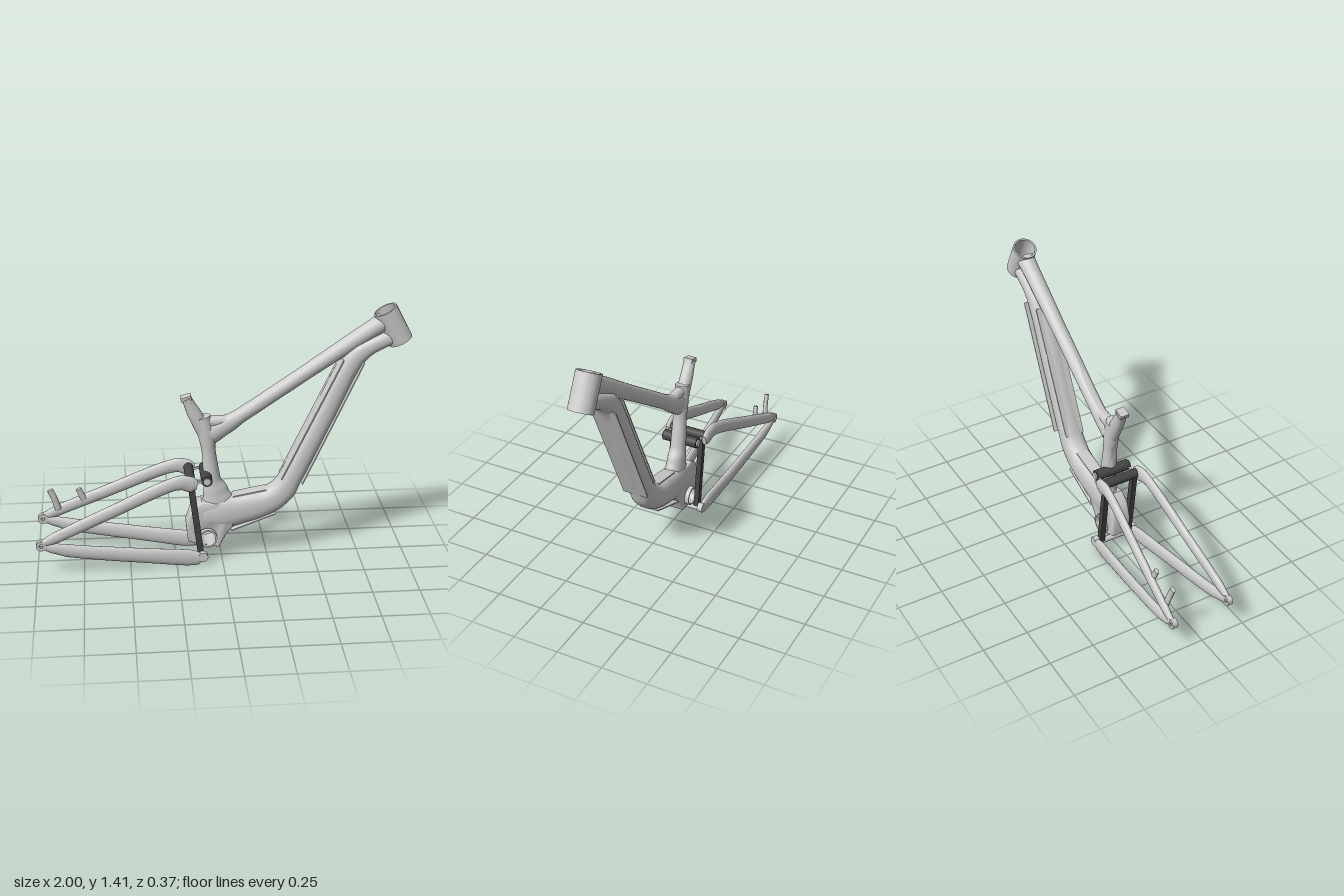
import * as THREE from 'three';
import { toCreasedNormals } from 'three/addons/utils/BufferGeometryUtils.js';

const grey = new THREE.MeshStandardMaterial({ color: 0xcccccc });
const dark = new THREE.MeshStandardMaterial({ color: 0x444444 });

// Smooth tube through stations [x, y, z, in-plane radius, sideways radius]
function loft(stations, sides = 24, power = 1) {
  const path = new THREE.CatmullRomCurve3(stations.map(s => new THREE.Vector3(s[0], s[1], s[2])), false, 'centripetal');
  const steps = (stations.length - 1) * 8;
  const pos = [], idx = [];
  for (let i = 0; i <= steps; i++) {
    const t = i / steps, u = t * (stations.length - 1);
    const k = Math.min(Math.floor(u), stations.length - 2);
    const f = THREE.MathUtils.smoothstep(u - k, 0, 1);
    const ra = THREE.MathUtils.lerp(stations[k][3], stations[k + 1][3], f);
    const rb = THREE.MathUtils.lerp(stations[k][4], stations[k + 1][4], f);
    const c = path.getPoint(t), tan = path.getTangent(t);
    const b = new THREE.Vector3(0, 0, 1).addScaledVector(tan, -tan.z).normalize();
    const n = b.clone().cross(tan);
    for (let j = 0; j < sides; j++) {
      const a = (j / sides) * Math.PI * 2;
      const ca = Math.sign(Math.cos(a)) * Math.abs(Math.cos(a)) ** power;
      const sa = Math.sign(Math.sin(a)) * Math.abs(Math.sin(a)) ** power;
      const p = c.clone().addScaledVector(n, ca * ra).addScaledVector(b, sa * rb);
      pos.push(p.x, p.y, p.z);
    }
  }
  for (let i = 0; i < steps; i++) for (let j = 0; j < sides; j++) {
    const p = i * sides + j, q = i * sides + (j + 1) % sides;
    idx.push(p, q, q + sides, p, q + sides, p + sides);
  }
  // end caps
  for (let j = 1; j < sides - 1; j++) {
    const e = steps * sides;
    idx.push(0, j + 1, j, e, e + j, e + j + 1);
  }
  const g = new THREE.BufferGeometry();
  g.setAttribute('position', new THREE.Float32BufferAttribute(pos, 3));
  g.setIndex(idx);
  return toCreasedNormals(g, 0.8);
}

// Hollow tube along y
function ring(rOut, rIn, length) {
  const h = length / 2;
  const pts = [[rIn, -h], [rOut, -h], [rOut, h], [rIn, h], [rIn, -h]].map(p => new THREE.Vector2(...p));
  return toCreasedNormals(new THREE.LatheGeometry(pts, 40), 0.7);
}

export function createModel() {
  const group = new THREE.Group();
  const add = (name, geometry, material = grey, parent = group) => {
    const m = new THREE.Mesh(geometry, material);
    m.name = name;
    parent.add(m);
    return m;
  };
  // Cylinder running across the frame
  const axle = (name, x, y, z, r, length, mat, parent) => {
    const m = add(name, new THREE.CylinderGeometry(r, r, length, 24), mat, parent);
    m.rotation.x = Math.PI / 2;
    m.position.set(x, y, z);
    return m;
  };
  // Flat bar between two points in the side plane
  const bar = (name, a, b, z, thick, width, mat, parent) => {
    const dx = b[0] - a[0], dy = b[1] - a[1];
    const m = add(name, new THREE.BoxGeometry(Math.hypot(dx, dy), thick, width), mat, parent);
    m.position.set((a[0] + b[0]) / 2, (a[1] + b[1]) / 2, z);
    m.rotation.z = Math.atan2(dy, dx);
    return m;
  };

  // Head tube
  const head = add('headTube', ring(0.065, 0.056, 0.192));
  head.position.set(0.897, 1.307, 0);
  head.rotation.z = Math.atan2(0.09, 0.17);

  // Main tubes
  add('topTube', loft([
    [-0.06, 0.73, 0, 0.06, 0.038], [0.02, 0.775, 0, 0.05, 0.038], [0.12, 0.84, 0, 0.04, 0.038],
    [0.43, 1.05, 0, 0.04, 0.04], [0.75, 1.265, 0, 0.046, 0.045], [0.85, 1.33, 0, 0.05, 0.05]]));
  add('downTube', loft([
    [0.905, 1.255, 0, 0.042, 0.05], [0.8, 1.21, 0, 0.044, 0.055], [0.72, 1.16, 0, 0.054, 0.06],
    [0.67, 1.09, 0, 0.056, 0.062], [0.53, 0.79, 0, 0.058, 0.064], [0.38, 0.475, 0, 0.06, 0.064],
    [0.335, 0.395, 0, 0.068, 0.064], [0.26, 0.335, 0, 0.074, 0.064], [0.14, 0.298, 0, 0.085, 0.063],
    [0.02, 0.275, 0, 0.095, 0.062], [-0.07, 0.265, 0, 0.08, 0.058], [-0.14, 0.255, 0, 0.06, 0.05]], 28, 0.8));

  // Thin cover plates on the down tube
  bar('lowerCover', [0.742, 1.125], [0.43, 0.445], 0, 0.006, 0.144);
  bar('upperCover', [0.635, 1.135], [0.32, 0.47], 0, 0.006, 0.11);
  bar('motorTopCover', [0.24, 0.403], [0.06, 0.37], 0, 0.006, 0.07);
  bar('motorLowerCover', [0.29, 0.268], [0.05, 0.178], 0, 0.006, 0.11);

  // Seat tube with flared foot, and the angled post socket
  add('seatTube', loft([
    [-0.02, 0.34, 0, 0.085, 0.05], [-0.033, 0.4, 0, 0.068, 0.047], [-0.05, 0.47, 0, 0.045, 0.042],
    [-0.068, 0.63, 0, 0.037, 0.038], [-0.08, 0.73, 0, 0.046, 0.04], [-0.1, 0.83, 0, 0.042, 0.038]]));
  add('seatSocket', loft([
    [-0.085, 0.74, 0, 0.045, 0.036], [-0.135, 0.83, 0, 0.038, 0.035], [-0.185, 0.935, 0, 0.027, 0.032]]));
  bar('seatClamp', [-0.215, 0.93], [-0.16, 0.945], 0, 0.022, 0.05);
  add('seatGusset', loft([
    [-0.1, 0.8, 0, 0.035, 0.03], [-0.04, 0.8, 0, 0.032, 0.03], [0.06, 0.815, 0, 0.02, 0.028]]));

  // Bottom bracket housing with through hole
  const outline = [[-0.11, 0.35], [-0.165, 0.31], [-0.195, 0.22], [-0.185, 0.12], [-0.13, 0.1],
    [-0.07, 0.085], [-0.015, 0.08], [0.02, 0.15], [0.06, 0.2], [0.04, 0.33]];
  const shape = new THREE.Shape(outline.map(p => new THREE.Vector2(...p)));
  const hole = new THREE.Path();
  hole.absarc(-0.08, 0.142, 0.05, 0, Math.PI * 2, true);
  shape.holes.push(hole);
  const housing = new THREE.ExtrudeGeometry(shape, {
    depth: 0.08, bevelEnabled: true, bevelThickness: 0.014, bevelSize: 0.008, bevelOffset: -0.008, bevelSegments: 3, curveSegments: 20 });
  housing.translate(0, 0, -0.04);
  add('bottomBracketHousing', toCreasedNormals(housing, 0.7));
  const shell = add('bottomBracketShell', ring(0.052, 0.043, 0.15));
  shell.rotation.x = Math.PI / 2;
  shell.position.set(-0.08, 0.142, 0);

  // Cross axles
  axle('upperLinkAxle', -0.172, 0.495, 0, 0.026, 0.22, dark);
  axle('shockAxle', -0.085, 0.495, 0, 0.03, 0.2, dark);
  axle('lowerPivotAxle', -0.115, 0.05, 0, 0.016, 0.2);

  // Rear triangle, one per side
  for (const s of [1, -1]) {
    const rear = new THREE.Group();
    rear.name = s > 0 ? 'rearTriangleLeft' : 'rearTriangleRight';
    group.add(rear);
    add('chainStay', loft([
      [-0.965, 0.187, 0.165 * s, 0.022, 0.014], [-0.9, 0.168, 0.165 * s, 0.03, 0.018],
      [-0.82, 0.148, 0.16 * s, 0.037, 0.02], [-0.5, 0.1, 0.14 * s, 0.042, 0.02],
      [-0.2, 0.059, 0.118 * s, 0.048, 0.018], [-0.145, 0.053, 0.115 * s, 0.042, 0.016],
      [-0.11, 0.058, 0.115 * s, 0.022, 0.014]], 20), grey, rear);
    add('seatStay', loft([
      [-0.965, 0.2, 0.168 * s, 0.022, 0.014], [-0.88, 0.238, 0.165 * s, 0.032, 0.018],
      [-0.6, 0.358, 0.145 * s, 0.035, 0.02], [-0.29, 0.488, 0.122 * s, 0.037, 0.02],
      [-0.22, 0.502, 0.117 * s, 0.042, 0.02], [-0.17, 0.488, 0.114 * s, 0.045, 0.018],
      [-0.14, 0.482, 0.112 * s, 0.03, 0.014]], 20), grey, rear);
    const dropout = add('dropout', ring(0.028, 0.011, 0.03), grey, rear);
    dropout.rotation.x = Math.PI / 2;
    dropout.position.set(-0.972, 0.19, 0.166 * s);
    axle('lowerPivot', -0.108, 0.06, 0.115 * s, 0.026, 0.03, grey, rear);
    axle('shockEye', -0.085, 0.495, 0.102 * s, 0.02, 0.012, grey, rear);
    // Links
    bar('verticalLink', [-0.172, 0.49], [-0.118, 0.06], 0.085 * s, 0.034, 0.028, dark, rear);
    bar('rockerLink', [-0.16, 0.49], [-0.085, 0.495], 0.094 * s, 0.012, 0.012, grey, rear);
  }

  // Brake mounts on the right seat stay
  add('brakeMountRear', loft([[-0.885, 0.25, -0.15, 0.018, 0.014], [-0.905, 0.32, -0.143, 0.018, 0.012],
    [-0.925, 0.37, -0.14, 0.017, 0.012]], 12));
  add('brakeMountFront', loft([[-0.74, 0.3, -0.147, 0.018, 0.014], [-0.758, 0.34, -0.142, 0.017, 0.012],
    [-0.77, 0.372, -0.14, 0.016, 0.012]], 12));
  return group;
}
